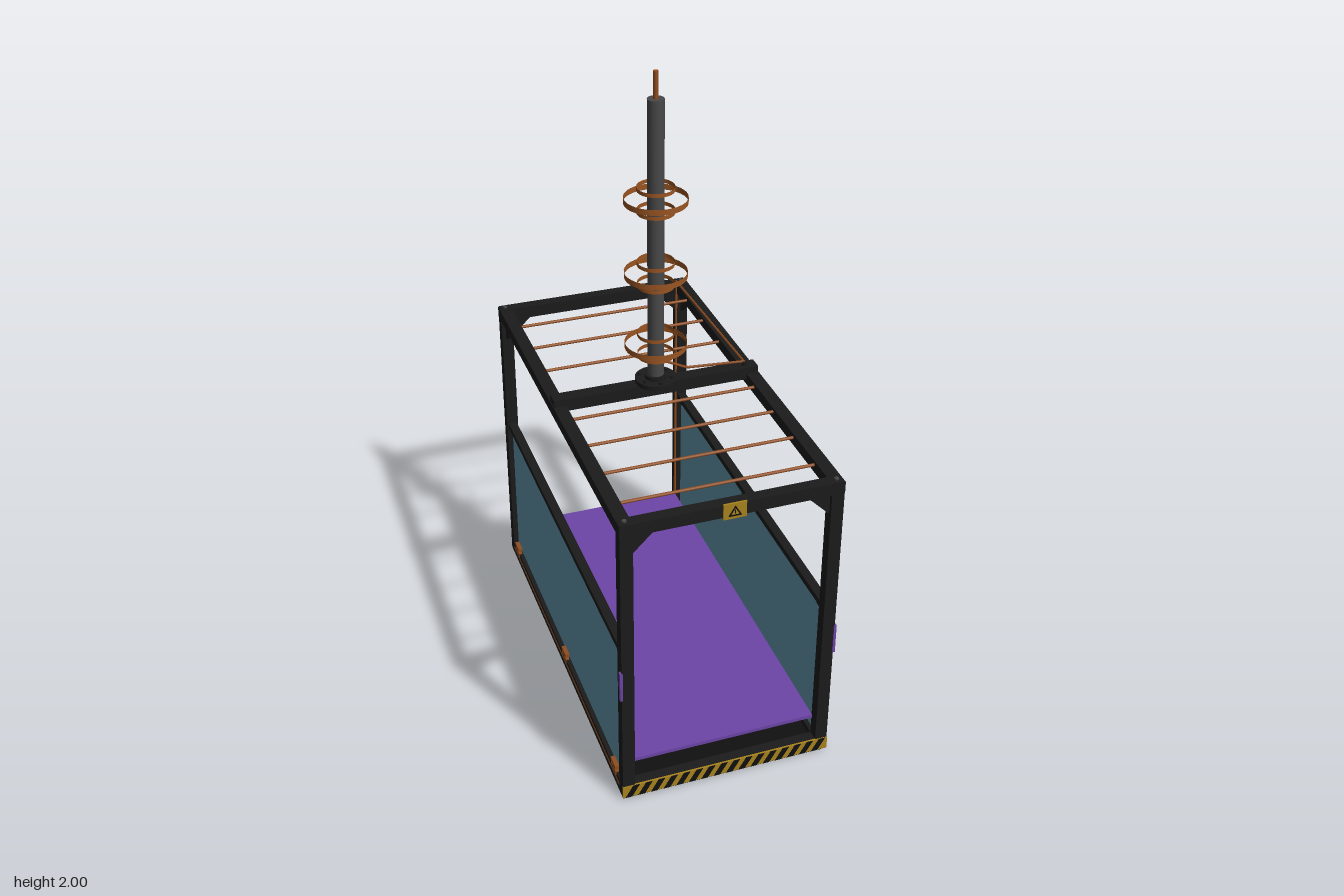
import * as THREE from 'three';

const mat = (color, side = THREE.FrontSide) => new THREE.MeshStandardMaterial({ color, side });
const frameMat = mat(0x1b1b1b), mastMat = mat(0x484848), copper = mat(0x8f4d20), copperBand = mat(0x9a5522, THREE.DoubleSide);
const purple = mat(0x6d45a8), glass = mat(0x5f94a6), yellow = mat(0xa8821c), black = mat(0x101010);

export function createModel() {
  const root = new THREE.Group();

  const add = (name, geo, material, x = 0, y = 0, z = 0, parent = root) => {
    const m = new THREE.Mesh(geo, material);
    m.name = name;
    m.position.set(x, y, z);
    parent.add(m);
    return m;
  };
  const box = (name, w, h, d, material, x, y, z, parent) =>
    add(name, new THREE.BoxGeometry(w, h, d), material, x, y, z, parent);
  const cyl = (name, r, h, material, x, y, z, sides = 24, parent = root) =>
    add(name, new THREE.CylinderGeometry(r, r, h, sides), material, x, y, z, parent);
  // Rod along 'x' or 'z'
  const rod = (name, axis, r, len, material, x, y, z) => {
    const m = cyl(name, r, len, material, x, y, z, 10);
    if (axis === 'x') m.rotation.z = Math.PI / 2;
    else m.rotation.x = Math.PI / 2;
    return m;
  };
  const polygon = (pts, depth) => new THREE.ExtrudeGeometry(
    new THREE.Shape(pts.map(p => new THREE.Vector2(...p))), { depth, bevelEnabled: false });

  const X = 0.31, Z = 0.642; // centre lines of the posts

  // Base tray, feet and floor
  box('basePlate', 0.65, 0.015, 1.31, black, 0, 0.0175, 0);
  for (const s of [-1, 1]) {
    box('baseSideRail', 0.038, 0.014, 1.32, frameMat, s * X, 0.043, 0);
    box('baseSideRailLower', 0.038, 0.015, 1.32, frameMat, s * X, 0.0125, 0);
    box('baseSideCore', 0.024, 0.04, 1.3, frameMat, s * 0.304, 0.028, 0);
    box('baseEndRail', 0.655, 0.045, 0.036, frameMat, 0, 0.0275, s * Z);
  }
  box('floor', 0.58, 0.012, 1.26, purple, 0, 0.12, 0);

  // Posts, feet, corner bolts and gussets
  const gusset = polygon([[0, 0], [-0.072, 0], [0, -0.072]], 0.012);
  for (const sx of [-1, 1]) for (const sz of [-1, 1]) {
    box('post', 0.038, 0.985, 0.036, frameMat, sx * X, 0.4975, sz * Z);
    cyl('foot', 0.015, 0.01, frameMat, sx * X, 0.005, sz * Z, 16);
    cyl('cornerBolt', 0.007, 0.006, mastMat, sx * X, 1.002, sz * Z, 6);
    const g = add('endGusset', gusset, frameMat, sx * 0.292, 0.962, sz * Z - sx * 0.006);
    if (sx < 0) g.rotation.y = Math.PI, g.position.z = sz * Z + 0.006;
    const h = add('sideGusset', gusset, frameMat, sx * X - 0.006, 0.962, sz * 0.625);
    h.rotation.y = -sz * Math.PI / 2;
    if (sz > 0) h.position.x += 0.012;
  }

  // Top frame
  for (const s of [-1, 1]) {
    box('topSideRail', 0.04, 0.036, 1.32, frameMat, s * X, 0.98, 0);
    box('topEndRail', 0.655, 0.04, 0.036, frameMat, 0, 0.98, s * Z);
  }
  box('crossBeam', 0.655, 0.04, 0.044, frameMat, 0, 1.0, 0);

  // Roof rods and the rod behind the rear rail
  for (let i = 0; i < 8; i++) rod('roofRod', 'x', 0.005, 0.59, copper, 0, 0.985, -0.522 + i * 0.151);
  rod('rearRod', 'x', 0.006, 0.615, copper, 0, 0.985, -0.667);

  // Side panels with handrails, lower pipes and clamps
  for (const s of [-1, 1]) {
    box('sidePanel', 0.01, 0.495, 1.22, glass, s * X, 0.295, 0);
    box('handrail', 0.028, 0.02, 1.26, frameMat, s * X, 0.548, 0);
    rod('lowerPipe', 'z', 0.008, 1.25, copper, s * 0.322, 0.028, 0);
    for (const z of [-0.6, 0, 0.6]) box('panelClip', 0.02, 0.014, 0.024, frameMat, s * X, 0.534, z);
    for (const z of [-0.57, 0.035, 0.57]) {
      box('clampBase', 0.012, 0.014, 0.048, copper, s * 0.325, 0.046, z);
      cyl('clampPin', 0.008, 0.03, copper, s * 0.324, 0.052, z, 12);
      box('clampCap', 0.014, 0.012, 0.046, copper, s * 0.325, 0.066, z);
    }
    // Marker strips on the front posts
    box('markerStrip', 0.008, 0.1, 0.014, purple, s * 0.33, 0.44, 0.656);
  }

  // Striped sill on the front
  box('warningSill', 0.66, 0.042, 0.006, yellow, 0, 0.03, 0.66);
  const stripe = polygon([[-0.022, -0.021], [-0.002, -0.021], [0.022, 0.021], [0.002, 0.021]], 0.002);
  for (let i = 0; i < 16; i++) add('sillStripe', stripe, black, -0.3 + i * 0.04, 0.03, 0.6625);

  // Warning plate with a triangular frame
  box('warningPlate', 0.068, 0.05, 0.006, yellow, 0, 0.98, 0.662);
  const tri = new THREE.Shape([[-0.02, -0.015], [0.02, -0.015], [0, 0.019]].map(p => new THREE.Vector2(...p)));
  tri.holes.push(new THREE.Path([[-0.013, -0.011], [0, 0.011], [0.013, -0.011]].map(p => new THREE.Vector2(...p))));
  add('warningTriangle', new THREE.ExtrudeGeometry(tri, { depth: 0.002, bevelEnabled: false }), black, 0, 0.979, 0.6645);
  box('warningMark', 0.003, 0.011, 0.002, black, 0, 0.978, 0.6655);

  // Mast with bolted flange and tip
  const mast = new THREE.Group();
  mast.name = 'mast';
  root.add(mast);
  cyl('flange', 0.064, 0.014, frameMat, 0, 1.026, 0, 24, mast);
  cyl('collar', 0.034, 0.014, frameMat, 0, 1.038, 0, 24, mast);
  for (let i = 0; i < 6; i++) {
    const a = (i + 0.5) * Math.PI / 3;
    cyl('flangeBolt', 0.006, 0.008, frameMat, 0.05 * Math.cos(a), 1.036, 0.05 * Math.sin(a), 6, mast);
  }
  cyl('pole', 0.025, 0.9, mastMat, 0, 1.47, 0, 24, mast);
  cyl('tip', 0.008, 0.08, copper, 0, 1.96, 0, 12, mast);

  // Open bands around the mast, in sets of three
  for (const y of [1.148, 1.383, 1.618])
    for (const [r, h, dy] of [[0.094, 0.018, 0], [0.056, 0.012, 0.035], [0.056, 0.012, -0.035]])
      add('mastBand', new THREE.CylinderGeometry(r, r, h, 32, 1, true), copperBand, 0, y + dy, 0, mast);

  // Cable from the mast along the beam, then to the rear post and down it
  const cable = (name, pts, r) => {
    const path = new THREE.CurvePath();
    const v = pts.map(p => new THREE.Vector3(...p));
    for (let i = 1; i < v.length; i++) path.add(new THREE.LineCurve3(v[i - 1], v[i]));
    add(name, new THREE.TubeGeometry(path, 24, r, 6), copper);
  };
  cable('mastCable', [[0.022, 1.085, 0], [0.1, 1.046, 0], [0.29, 1.032, 0]], 0.004);
  cable('roofCable', [[0.288, 1.032, 0], [0.288, 1.01, -0.625]], 0.004);
  cable('postCable', [[0.289, 1.01, -0.625], [0.289, 0.07, -0.625]], 0.004);
  cyl('cableBolt', 0.01, 0.014, frameMat, 0.29, 1.026, 0, 8);

  return root;
}
